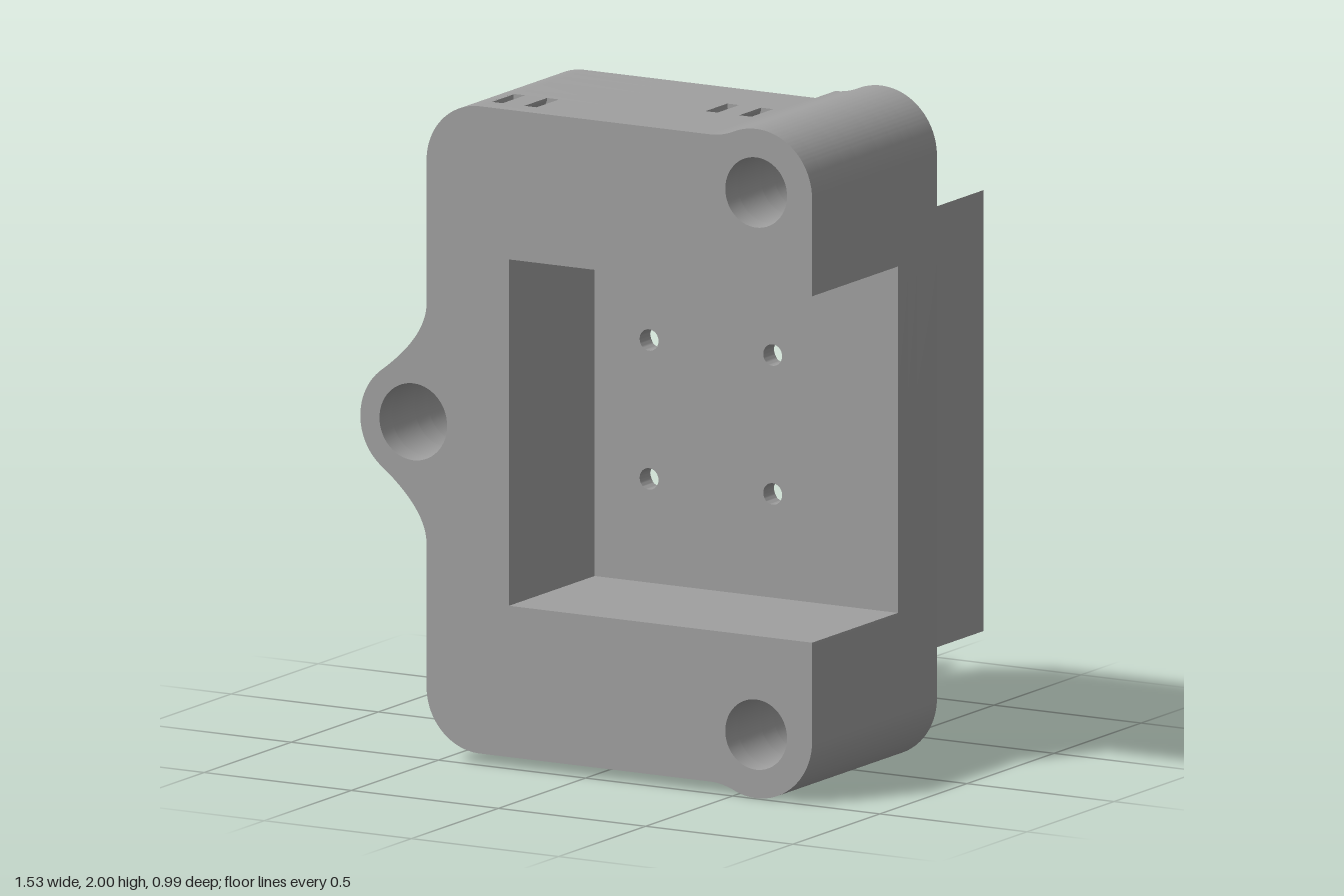
import * as THREE from 'three';
import { toCreasedNormals } from 'three/addons/utils/BufferGeometryUtils.js';

const TOP = 1.967, BOTTOM = 0.033, LEFT = -0.545, RIGHT = 0.765, BAND = 0.42;
const BOSS = { x: 0.575, y: 1.81, r: 0.19 };
const LUG = { x: -0.59, y: 1, r: 0.18 };
const rad = THREE.MathUtils.degToRad;

function hole(shape, x, y, r) {
  const p = new THREE.Path();
  p.absarc(x, y, r, 0, Math.PI * 2, true);
  shape.holes.push(p);
}

// Right edge from the lower boss to the upper boss, optionally cut by the pocket
function rightEdge(s, pocket) {
  const a = rad(115), c = Math.cos(a) * BOSS.r, d = Math.sin(a) * BOSS.r;
  s.quadraticCurveTo(0.455, BOTTOM, BOSS.x + c, 2 - BOSS.y - d);
  s.absarc(BOSS.x, 2 - BOSS.y, BOSS.r, -a, 0, false);
  if (pocket) {
    s.lineTo(RIGHT, 0.485);
    s.lineTo(-0.265, 0.485);
    s.lineTo(-0.265, 1.52);
    s.lineTo(RIGHT, 1.52);
  }
  s.absarc(BOSS.x, BOSS.y, BOSS.r, 0, a, false);
  s.quadraticCurveTo(0.455, TOP, BAND, TOP);
}

// Full cross-section of the housing; notchX adds half-round tie slots top and bottom
function bodyShape({ pocket, notchX, bossR, lugR, screwR }) {
  const s = new THREE.Shape();
  const n = 0.078, cr = 0.18, t = rad(127);
  const lx = LUG.x + Math.cos(t) * LUG.r, ly = Math.sin(t) * LUG.r;
  s.moveTo(BAND, BOTTOM);
  rightEdge(s, pocket);
  if (notchX !== undefined) s.absarc(notchX, TOP, n, 0, -Math.PI, true);
  s.lineTo(LEFT + cr, TOP);
  s.absarc(LEFT + cr, TOP - cr, cr, Math.PI / 2, Math.PI, false);
  s.lineTo(LEFT, 1.36);
  s.quadraticCurveTo(LEFT, 1.259, lx, 1 + ly);
  s.absarc(LUG.x, LUG.y, LUG.r, t, 2 * Math.PI - t, false);
  s.quadraticCurveTo(LEFT, 0.741, LEFT, 0.64);
  s.lineTo(LEFT, BOTTOM + cr);
  s.absarc(LEFT + cr, BOTTOM + cr, cr, Math.PI, Math.PI * 1.5, false);
  if (notchX !== undefined) s.absarc(notchX, BOTTOM, n, Math.PI, 0, true);
  s.lineTo(BAND, BOTTOM);
  for (const y of [BOSS.y, 2 - BOSS.y]) hole(s, BOSS.x, y, bossR);
  hole(s, LUG.x, LUG.y, lugR);
  if (screwR) for (const x of [-0.08, 0.34]) for (const y of [0.795, 1.21]) hole(s, x, y, screwR);
  return s;
}

export function createModel() {
  const group = new THREE.Group();
  const grey = new THREE.MeshStandardMaterial({ color: 0xa0a0a0 });
  grey.name = 'grey';

  const add = (name, shape, z0, z1) => {
    const geo = new THREE.ExtrudeGeometry(shape, { depth: z1 - z0, bevelEnabled: false, curveSegments: 28 });
    geo.translate(0, 0, z0);
    const mesh = new THREE.Mesh(toCreasedNormals(geo, 0.5), grey);
    mesh.name = name;
    group.add(mesh);
  };

  // Pocket walls, layered so the tie slots cut through part of the depth
  const layers = [[0.42, 0.492], [0.29, 0.42, -0.292], [0.215, 0.29], [0.09, 0.215, 0.317], [0, 0.09]];
  for (const [z0, z1, notchX] of layers) {
    add('housingWalls', bodyShape({ pocket: true, notchX, bossR: 0.105, lugR: 0.115 }), z0, z1);
    if (notchX === undefined) continue;
    // Bars bridging the tie slots
    for (const [y, start] of [[TOP, Math.PI], [BOTTOM, 0]]) {
      const bar = new THREE.Shape();
      bar.absarc(notchX, y, 0.037, start, start + Math.PI, false);
      add('tieBar', bar, z0, z1);
    }
  }

  // Floor with narrow through holes and countersunk screw holes behind
  add('floor', bodyShape({ bossR: 0.05, lugR: 0.06, screwR: 0.032 }), -0.06, 0);
  add('floorBack', bodyShape({ bossR: 0.05, lugR: 0.06, screwR: 0.062 }), -0.11, -0.06);

  // Raised band behind the two bosses
  const band = new THREE.Shape();
  band.moveTo(BAND, BOTTOM);
  rightEdge(band, false);
  band.lineTo(BAND, BOTTOM);
  for (const y of [BOSS.y, 2 - BOSS.y]) hole(band, BOSS.x, y, 0.105);
  add('bossBand', band, -0.225, -0.11);

  // Rail with ends scooped around the bosses
  const rail = new THREE.Shape();
  const a1 = Math.atan2(0.186, -0.155), a2 = Math.atan2(0.152, 0.19);
  rail.absarc(BOSS.x, 2 - BOSS.y, 0.242, a1, a2, true);
  rail.absarc(BOSS.x, BOSS.y, 0.242, -a2, -a1, true);
  rail.closePath();
  add('rail', rail, -0.495, -0.225);

  // Lug extension behind the housing
  const t = rad(127), lug = new THREE.Shape();
  lug.moveTo(-0.43, 0.665);
  lug.lineTo(-0.43, 1.335);
  lug.lineTo(-0.565, 1.2);
  lug.lineTo(-0.62, 1.2);
  lug.absarc(LUG.x, LUG.y, LUG.r, t, 2 * Math.PI - t, false);
  lug.lineTo(-0.62, 0.8);
  lug.lineTo(-0.565, 0.8);
  lug.closePath();
  hole(lug, LUG.x, LUG.y, 0.115);
  add('lugBack', lug, -0.225, -0.11);

  // Triangular prongs above and below the lug
  for (const side of [1, -1]) {
    const prong = new THREE.Shape();
    prong.moveTo(-0.43, 1 + side * 0.2);
    prong.lineTo(-0.43, 1 + side * 0.335);
    prong.lineTo(-0.565, 1 + side * 0.2);
    prong.closePath();
    add('prong', prong, -0.495, -0.225);
  }
  return group;
}
